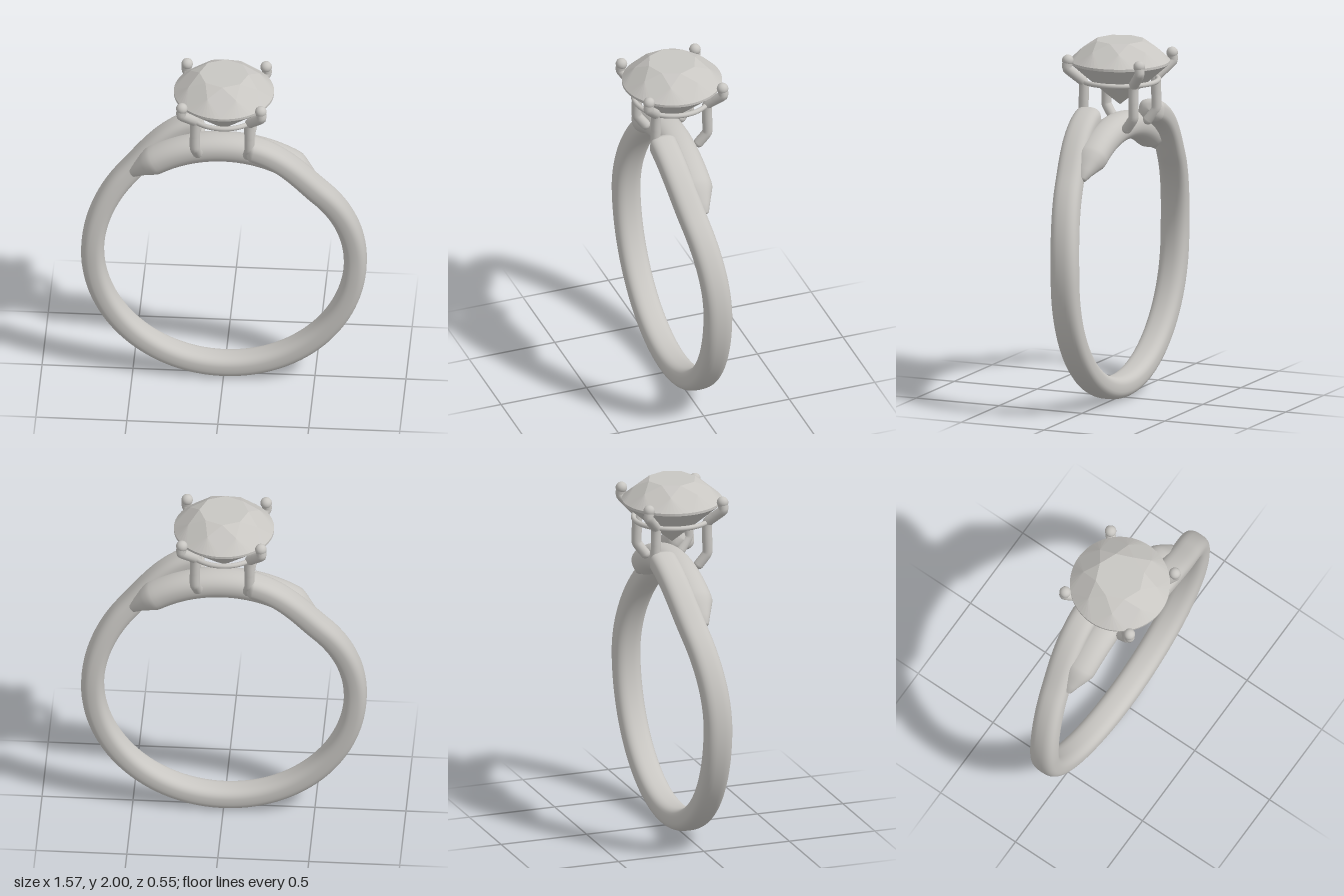
import * as THREE from 'three';

const metal = new THREE.MeshStandardMaterial({ color: 0xc8c6c2 });
metal.name = 'pale grey';

const RAD = Math.PI / 180;
const CENTRE_Y = 0.785;
const smooth = (v, a, b) => THREE.MathUtils.smoothstep(v, a, b);

function addMesh(parent, geometry, name) {
  const mesh = new THREE.Mesh(geometry, metal);
  mesh.name = name;
  parent.add(mesh);
  return mesh;
}

// Sweeps a soft-cornered section around the finger hole.
// phi is the angle in degrees from the bottom, towards +x.
function sweepAroundFinger(stations, sides = 32, power = 2.7) {
  const pos = [], index = [];
  const soft = (v) => Math.sign(v) * Math.pow(Math.abs(v), 2 / power);
  stations.forEach(({ phi, r, z, hr, hz }, i) => {
    for (let j = 0; j < sides; j++) {
      const a = (j / sides) * Math.PI * 2;
      const radius = r + hr * soft(Math.cos(a));
      pos.push(radius * Math.sin(phi * RAD), CENTRE_Y - radius * Math.cos(phi * RAD), z + hz * soft(Math.sin(a)));
      if (i === stations.length - 1) continue;
      const p = i * sides + j, q = i * sides + ((j + 1) % sides);
      index.push(p, p + sides, q, q, p + sides, q + sides);
    }
  });
  const g = new THREE.BufferGeometry();
  g.setAttribute('position', new THREE.Float32BufferAttribute(pos, 3));
  g.setIndex(index);
  g.computeVertexNormals();
  return g;
}

// Bypass band: one arm passes in front, the other behind
function bandGeometry() {
  const end = 171, cap = 3, stations = [];
  const station = (phi, s) => {
    const a = Math.abs(phi);
    stations.push({
      phi,
      r: 0.722 + 0.095 * smooth(a, 132, 172),
      z: Math.sign(phi) * 0.115 * smooth(a, 88, 172),
      hr: 0.063 * s, hz: 0.077 * s,
    });
  };
  const capSteps = [0, 0.15, 0.35, 0.6, 0.85, 1];
  const capScale = (u) => Math.sqrt(1 - (1 - u) ** 2);
  const inner = end - cap;
  for (const u of capSteps) station(-end + cap * u, capScale(u));
  for (let i = 1; i < 140; i++) station(-inner + (2 * inner * i) / 140, 1);
  for (const u of [...capSteps].reverse()) station(end - cap * u, capScale(u));
  return sweepAroundFinger(stations);
}

// Arch under the stone with tapered ends
function bridgeGeometry() {
  const stations = [];
  const station = (phi, s) => stations.push({ phi, r: 0.728, z: 0, hr: 0.078 * s, hz: 0.09 * s });
  station(136, 0);
  station(136.2, 0.3);
  station(140, 0.52);
  station(144, 0.78);
  station(147, 0.97);
  for (let a = 149; a <= 211; a += 2) station(a, 1);
  station(213, 0.97);
  station(216, 0.78);
  station(220, 0.52);
  station(223.8, 0.3);
  station(224, 0);
  return sweepAroundFinger(stations, 32, 2.2);
}

// Brilliant-cut stone made of flat facets
function stoneGeometry() {
  const pos = [], N = 64, R = 0.275;
  const middle = new THREE.Vector3(0, 1.87, 0);
  const polar = (r, k, n, y) => {
    const a = (k / n) * Math.PI * 2;
    return new THREE.Vector3(r * Math.sin(a), y, r * Math.cos(a));
  };
  const tri = (a, b, c) => {
    const normal = b.clone().sub(a).cross(c.clone().sub(a));
    const out = a.clone().add(b).add(c).divideScalar(3).sub(middle);
    for (const p of normal.dot(out) < 0 ? [a, c, b] : [a, b, c]) pos.push(p.x, p.y, p.z);
  };
  // kites, stars and girdle facets of one half
  const half = (tipR, tipY, midR, girdleY) => {
    const f = (midR * Math.cos(Math.PI / 8) - tipR) / (R - tipR);
    const midY = tipY + (girdleY - tipY) * f;
    for (let k = 0; k < 8; k++) {
      const t0 = polar(tipR, k, 8, tipY), t1 = polar(tipR, k + 1, 8, tipY);
      const m0 = polar(midR, k - 0.5, 8, midY), m1 = polar(midR, k + 0.5, 8, midY);
      const g = polar(R, k, 8, girdleY);
      tri(t0, m0, g);
      tri(t0, g, m1);
      if (tipR > 0) {
        tri(t0, m1, t1);
        tri(new THREE.Vector3(0, tipY, 0), t0, t1);
      }
      for (let i = 0; i < 8; i++) tri(m1, polar(R, k * 8 + i, N, girdleY), polar(R, k * 8 + i + 1, N, girdleY));
    }
  };
  half(0.135, 2.0, 0.205, 1.886);
  half(0, 1.637, 0.08, 1.872);
  // girdle edge
  for (let i = 0; i < N; i++) {
    const a = polar(R, i, N, 1.886), b = polar(R, i + 1, N, 1.886);
    const c = polar(R, i, N, 1.872), d = polar(R, i + 1, N, 1.872);
    tri(a, c, b);
    tri(b, c, d);
  }
  const g = new THREE.BufferGeometry();
  g.setAttribute('position', new THREE.Float32BufferAttribute(pos, 3));
  g.computeVertexNormals();
  return g;
}

// Bent claw with rounded ends
function makeProng(sx, sz) {
  const prong = new THREE.Group();
  prong.name = 'prong';
  const points = [
    [0.138, 1.535, 0.105], [0.15, 1.6, 0.15], [0.15, 1.68, 0.15], [0.15, 1.775, 0.15],
    [0.185, 1.82, 0.185], [0.22, 1.862, 0.218], [0.217, 1.905, 0.215],
  ].map(([x, y, z]) => new THREE.Vector3(sx * x, y, sz * z));
  const path = new THREE.CatmullRomCurve3(points, false, 'catmullrom', 0.25);
  addMesh(prong, new THREE.TubeGeometry(path, 48, 0.028, 14), 'prongWire');
  addMesh(prong, new THREE.SphereGeometry(0.028, 14, 10), 'prongFoot').position.copy(points[0]);
  addMesh(prong, new THREE.SphereGeometry(0.032, 16, 12), 'prongTip').position.copy(points[6]);
  return prong;
}

export function createModel() {
  const ring = new THREE.Group();
  ring.name = 'ring';
  addMesh(ring, bandGeometry(), 'band');
  addMesh(ring, bridgeGeometry(), 'bridge');
  addMesh(ring, stoneGeometry(), 'stone');

  // Thin gallery wire under the stone
  const gallery = addMesh(ring, new THREE.TorusGeometry(0.212, 0.014, 12, 64), 'galleryWire');
  gallery.rotation.x = Math.PI / 2;
  gallery.position.y = 1.778;

  for (const sx of [-1, 1]) for (const sz of [-1, 1]) ring.add(makeProng(sx, sz));
  return ring;
}
